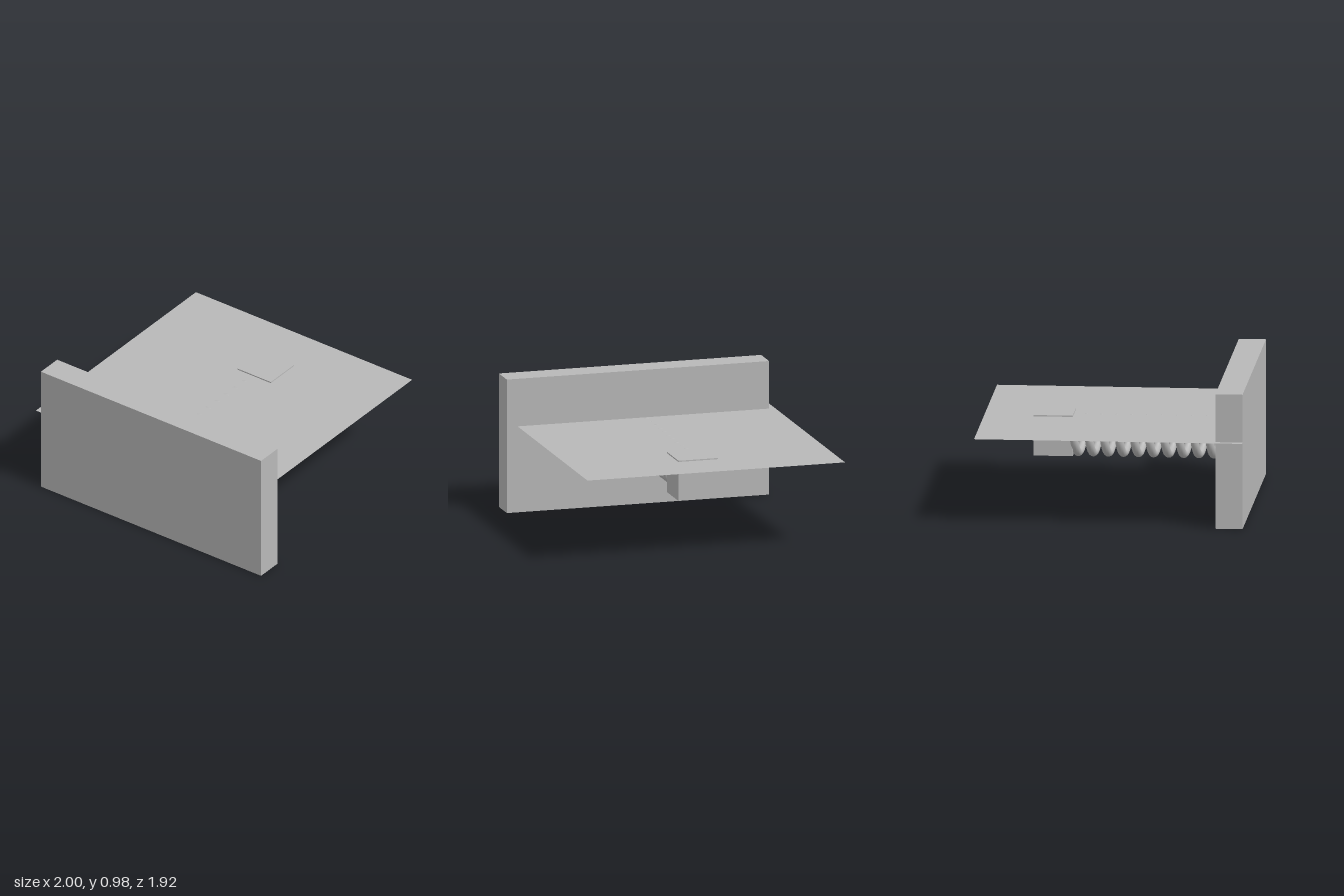
import * as THREE from 'three';

export function createModel() {
  const model = new THREE.Group();
  const grey = new THREE.MeshStandardMaterial({ color: 0xb8b8b8, side: THREE.DoubleSide });
  grey.name = 'plainGrey';
  const flatGrey = grey; // one colour for every part

  const add = (name, geometry, x, y, z) => {
    const mesh = new THREE.Mesh(geometry, flatGrey);
    mesh.name = name;
    mesh.position.set(x, y, z);
    model.add(mesh);
    return mesh;
  };

  const axisX = -0.034, axisY = 0.478;

  // Upright wall, block and thin horizontal sheet
  add('wall', new THREE.BoxGeometry(1.955, 0.98, 0.195), 0.0225, 0.49, 0.8625);
  add('block', new THREE.BoxGeometry(0.295, 0.295, 0.28), -0.0125, 0.4925, -0.465);
  add('sheet', new THREE.PlaneGeometry(1.92, 1.92).rotateX(-Math.PI / 2), -0.04, 0.631, 0);

  // Faceted guide rod inside the spring, fixed to the wall
  const rodGeometry = new THREE.CylinderGeometry(0.05, 0.05, 0.81, 8)
    .rotateY(Math.PI / 8).rotateX(Math.PI / 2).toNonIndexed();
  rodGeometry.computeVertexNormals();
  add('guideRod', rodGeometry, axisX, 0.49, 0.375);

  // Spring: a helix running from the block into the wall
  class Helix extends THREE.Curve {
    constructor(radius, pitch, turns) {
      super();
      Object.assign(this, { radius, pitch, turns });
    }
    getPoint(t, target = new THREE.Vector3()) {
      const a = t * this.turns * Math.PI * 2;
      return target.set(-Math.cos(a) * this.radius, -Math.sin(a) * this.radius, t * this.turns * this.pitch);
    }
  }
  const wire = 0.03, turns = 10.5;
  const helix = new Helix(0.125, 0.108, turns);
  const spring = add('spring', new THREE.TubeGeometry(helix, 500, wire, 14), axisX, axisY, -0.317);

  // Flat caps on both wire ends
  for (const t of [0, 1]) {
    const cap = new THREE.Mesh(new THREE.CircleGeometry(wire, 14), flatGrey);
    cap.name = t ? 'springEndCap' : 'springStartCap';
    cap.position.copy(helix.getPoint(t));
    const outward = helix.getTangent(t).multiplyScalar(t ? 1 : -1);
    cap.quaternion.setFromUnitVectors(new THREE.Vector3(0, 0, 1), outward);
    spring.add(cap);
  }
  return model;
}
